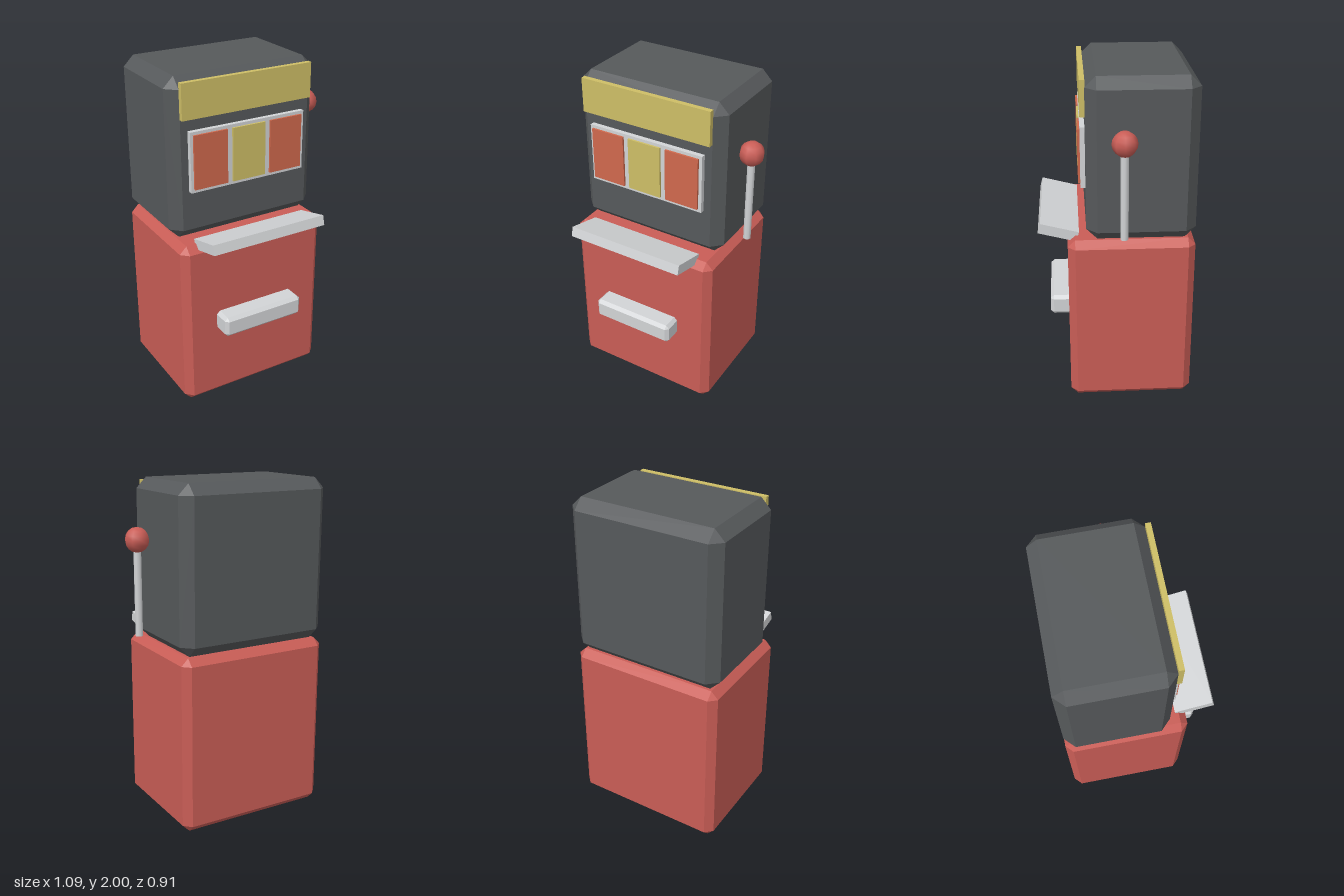
import * as THREE from 'three';
import { ConvexGeometry } from 'three/addons/geometries/ConvexGeometry.js';

const material = (name, color) => {
  const m = new THREE.MeshStandardMaterial({ color });
  m.name = name;
  return m;
};

// Box with every edge cut at 45 degrees
function chamferBox(w, h, d, b) {
  const points = [];
  for (const x of [-1, 1]) for (const y of [-1, 1]) for (const z of [-1, 1]) {
    const corner = [x * w / 2, y * h / 2, z * d / 2];
    const inset = [corner[0] - x * b, corner[1] - y * b, corner[2] - z * b];
    for (let axis = 0; axis < 3; axis++) {
      const p = [...inset];
      p[axis] = corner[axis];
      points.push(new THREE.Vector3(...p));
    }
  }
  return new ConvexGeometry(points);
}

export function createModel() {
  const red = material('cabinet red', 0xc95d56);
  const dark = material('charcoal', 0x56595b);
  const gold = material('gold', 0xcebe66);
  const orange = material('reel orange', 0xd0694d);
  const silver = material('silver', 0xd2d4d6);

  const model = new THREE.Group();
  model.name = 'slotMachine';

  const add = (name, geometry, mat, x, y, z) => {
    const mesh = new THREE.Mesh(geometry, mat);
    mesh.name = name;
    mesh.position.set(x, y, z);
    model.add(mesh);
    return mesh;
  };
  // Boxes given by their [min, max] limits on each axis
  const addBox = (name, mat, [x0, x1], [y0, y1], [z0, z1], bevel = 0) => {
    const size = [x1 - x0, y1 - y0, z1 - z0];
    const geometry = bevel ? chamferBox(...size, bevel) : new THREE.BoxGeometry(...size);
    return add(name, geometry, mat, (x0 + x1) / 2, (y0 + y1) / 2, (z0 + z1) / 2);
  };

  // Cabinet
  addBox('lowerCabinet', red, [-0.547, 0.398], [0, 1.055], [-0.456, 0.28], 0.043);
  addBox('upperCabinet', dark, [-0.547, 0.398], [1.055, 2], [-0.456, 0.172], 0.062);

  // Sign and reel window
  addBox('topSign', gold, [-0.486, 0.335], [1.775, 1.98], [0.17, 0.2]);
  addBox('reelFrame', silver, [-0.442, 0.292], [1.35, 1.705], [0.17, 0.2]);
  [-0.32, -0.076, 0.167].forEach((x, i) => {
    addBox(`reel${i + 1}`, i === 1 ? gold : orange,
      [x - 0.105, x + 0.105], [1.37, 1.687], [0.19, 0.212]);
  });

  // Tilted button shelf and coin tray
  const shelf = add('buttonShelf', new THREE.BoxGeometry(0.734, 0.06, 0.23), silver, -0.075, 1.076, 0.332);
  shelf.rotation.x = -0.255;
  addBox('coinTray', silver, [-0.338, 0.186], [0.468, 0.594], [0.26, 0.393], 0.02);

  // Pull lever
  add('leverRod', new THREE.CylinderGeometry(0.023, 0.023, 0.53, 8), silver, 0.47, 1.375, -0.036);
  add('leverKnob', new THREE.SphereGeometry(0.072, 8, 8), red, 0.47, 1.667, -0.036);

  return model;
}
